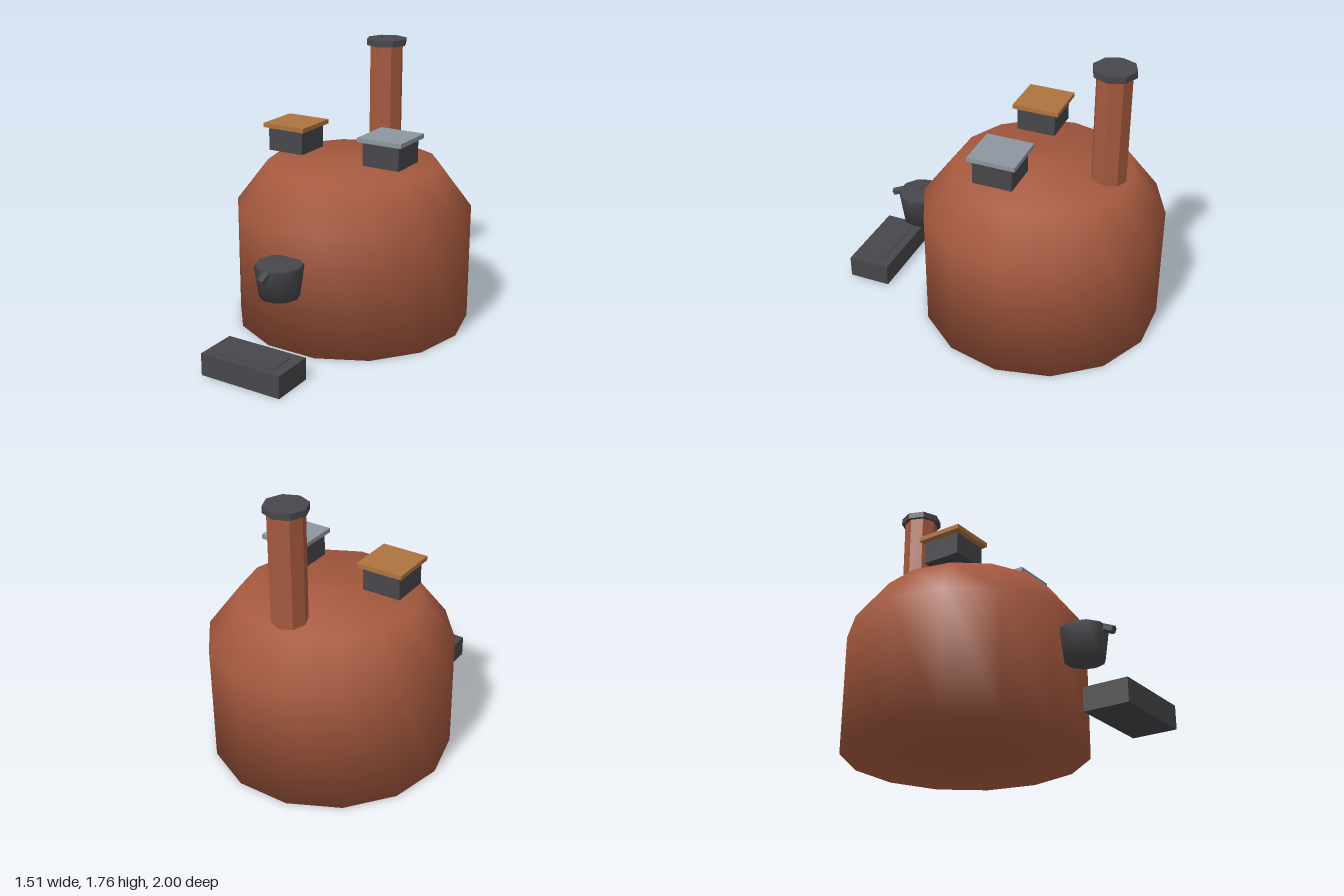
import * as THREE from 'three';

const mat = (name, color) => {
  const m = new THREE.MeshStandardMaterial({ color });
  m.name = name;
  return m;
};

export function createModel() {
  const clay = mat('terracotta', 0xa6593f);
  const iron = mat('dark iron', 0x47464b);
  const wood = mat('wood', 0xae733f);
  const steel = mat('pale steel', 0x8d979f);

  const group = new THREE.Group();
  group.name = 'dome oven';

  const add = (name, geometry, material, x, y, z) => {
    const mesh = new THREE.Mesh(geometry, material);
    mesh.name = name;
    mesh.position.set(x, y, z);
    group.add(mesh);
    return mesh;
  };
  const box = (name, material, w, h, d, x, bottom, z) =>
    add(name, new THREE.BoxGeometry(w, h, d), material, x, bottom + h / 2, z);
  const lathe = (points, sides) =>
    new THREE.LatheGeometry(points.map(([r, y]) => new THREE.Vector2(r, y)), sides, Math.PI / 2);
  const prism = (radius, height, sides) =>
    new THREE.CylinderGeometry(radius, radius, height, sides).toNonIndexed();
  const flat = (geometry) => {
    geometry.computeVertexNormals();
    return geometry;
  };

  // Smooth fourteen-sided oven body with a closed floor and low roof
  add('ovenBody', lathe([[0, 0], [0.755, 0], [0.755, 0.76], [0.55, 1.03], [0, 1.07]], 14),
    clay, 0, 0, -0.264);

  // Eight-sided chimney and its cap
  add('chimney', flat(prism(0.109, 0.72, 8)), clay, 0, 1.36, -0.677);
  add('chimneyCap', flat(prism(0.132, 0.04, 8)), iron, 0, 1.74, -0.677);

  // Pair of raised boxes, each with a floating lid
  for (const [side, name, lid] of [[-1, 'right', wood], [1, 'left', steel]]) {
    box(name + 'Box', iron, 0.248, 0.138, 0.248, side * 0.343, 1.102, -0.124);
    box(name + 'Lid', lid, 0.298, 0.028, 0.298, side * 0.343, 1.252, -0.126);
  }

  // Tapered pot on the front with a short drooping spout
  add('pot', lathe([[0, 0.415], [0.122, 0.415], [0.149, 0.606], [0.139, 0.62], [0, 0.62]], 10),
    iron, 0, 0, 0.585);
  const spout = add('potSpout', flat(prism(0.026, 0.09, 6)), iron, 0, 0.583, 0.742);
  spout.rotation.x = Math.PI / 2 + 0.43;

  // Ash tray on the ground with a thin raised panel
  box('ashTray', iron, 0.548, 0.14, 0.275, 0, 0, 0.8625);
  box('ashTrayPanel', iron, 0.41, 0.006, 0.17, 0, 0.139, 0.87);

  return group;
}
